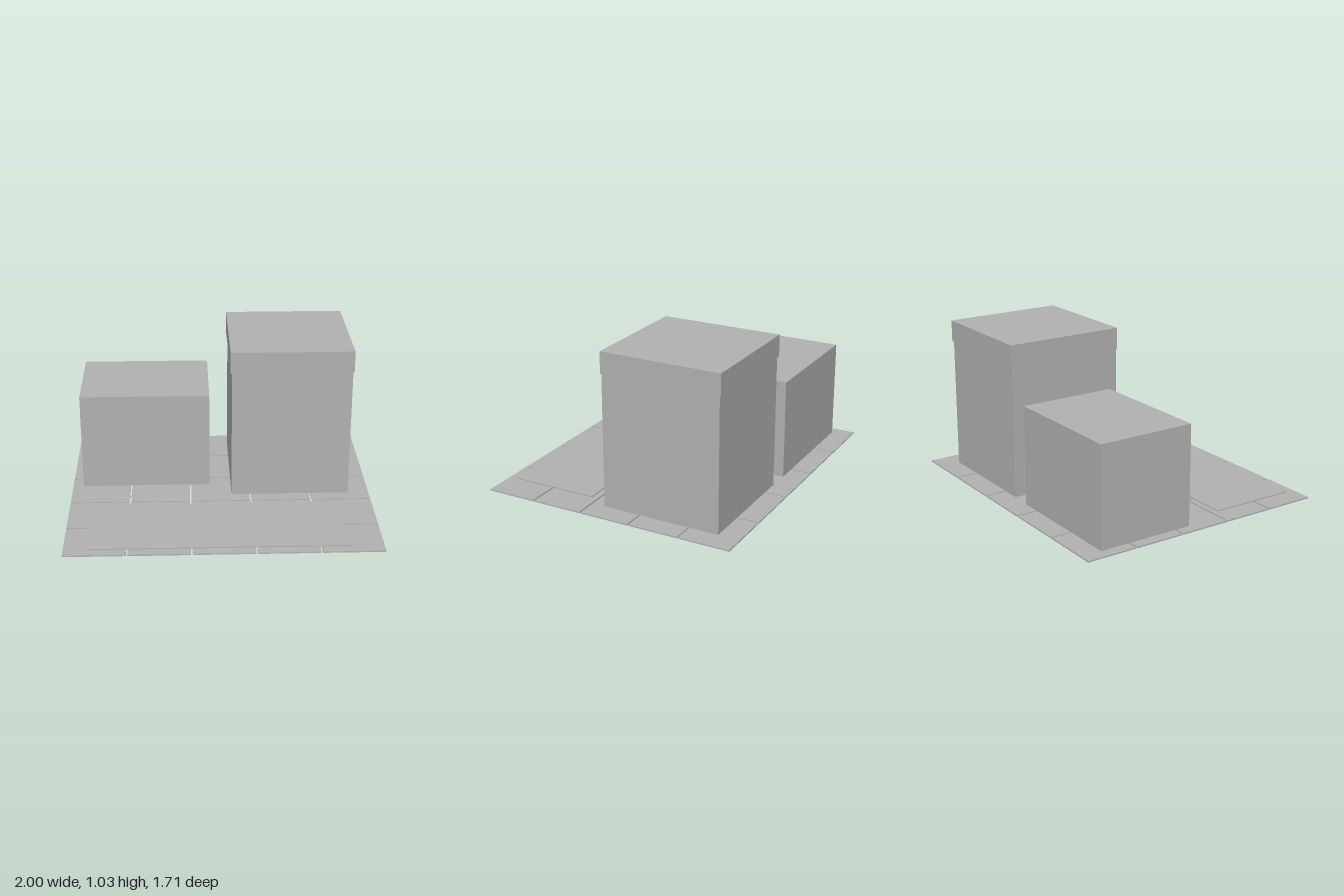
import * as THREE from 'three';

export function createModel() {
  const group = new THREE.Group();
  const grey = new THREE.MeshStandardMaterial({ color: 0xb2b2b2 });
  grey.name = 'light grey';

  // Box given by its extents along each axis
  const addBox = (name, [x0, x1], [y0, y1], [z0, z1], parent = group) => {
    const mesh = new THREE.Mesh(new THREE.BoxGeometry(x1 - x0, y1 - y0, z1 - z0), grey);
    mesh.position.set((x0 + x1) / 2, (y0 + y1) / 2, (z0 + z1) / 2);
    mesh.name = name;
    parent.add(mesh);
  };

  // Paved floor: five by five thin tiles with narrow gaps
  const floor = new THREE.Group();
  floor.name = 'tiledFloor';
  group.add(floor);
  const top = 0.009, gap = 0.01, count = 5;
  const sizeX = (2 - gap * (count - 1)) / count;
  const sizeZ = (1.708 - gap * (count - 1)) / count;
  for (let i = 0; i < count; i++) {
    for (let j = 0; j < count; j++) {
      const x = -1 + i * (sizeX + gap);
      const z = -0.854 + j * (sizeZ + gap);
      addBox('floorTile', [x, x + sizeX], [0, top], [z, z + sizeZ], floor);
    }
  }

  // Thin mat in front of the blocks
  addBox('frontMat', [-0.857, 0.788], [top, 0.016], [0.218, 0.79]);

  // Low block on the right
  addBox('lowBlock', [-0.93, -0.07], [top, 0.668], [-0.717, -0.071]);

  // Tall block on the left with an overhanging cap
  addBox('tallBlock', [0.074, 0.86], [top, 0.885], [-0.712, 0.079]);
  addBox('tallBlockCap', [0.065, 0.867], [0.885, 1.028], [-0.721, 0.083]);

  return group;
}
